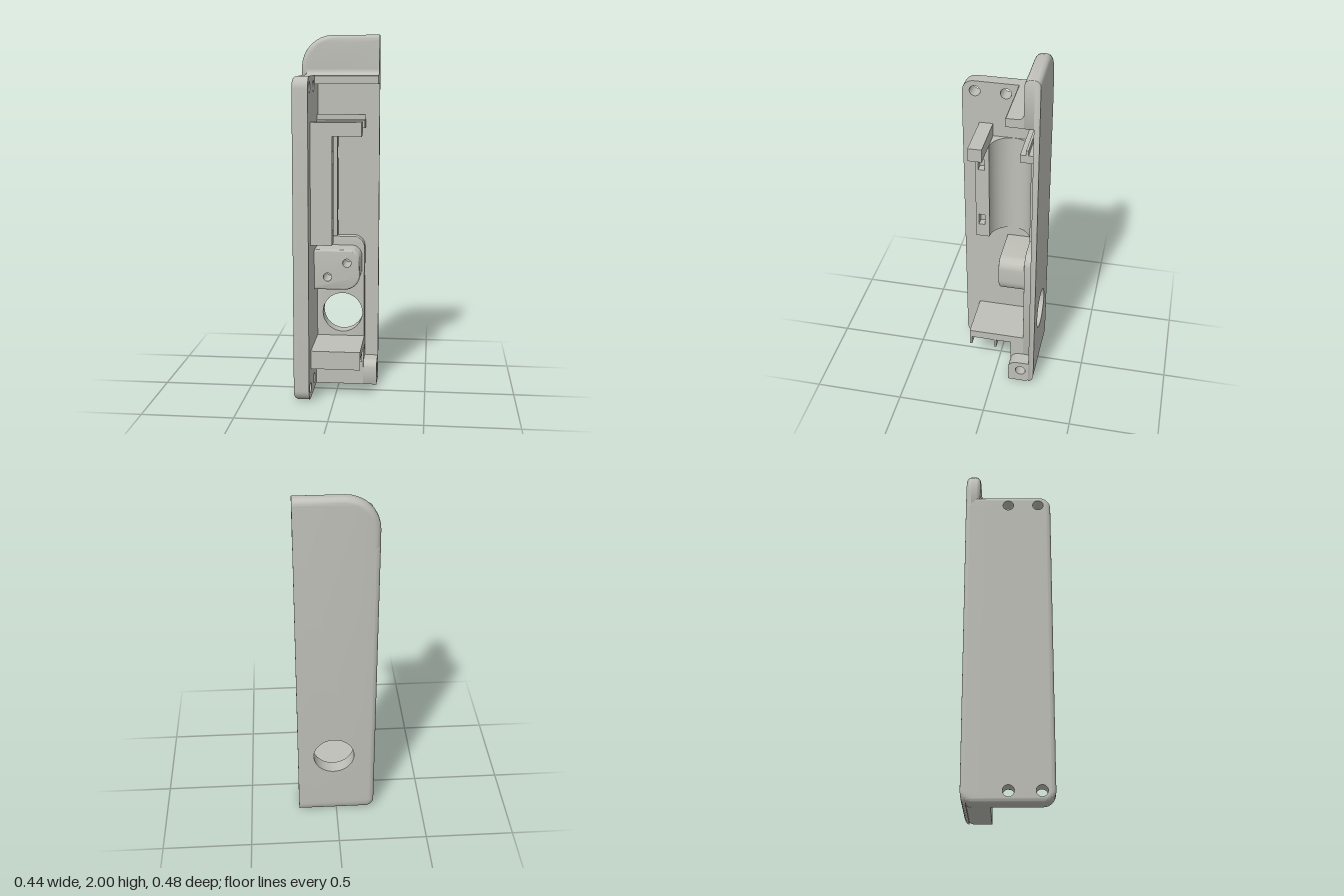
import * as THREE from 'three';
import { mergeGeometries, toCreasedNormals } from 'three/addons/utils/BufferGeometryUtils.js';

const T = 0.003; // tiny radius for a nearly sharp corner

// Rounded rectangle outline, counter-clockwise; radii: bottom-left, bottom-right, top-right, top-left
function roundRect(x0, y0, x1, y1, radii) {
  const pts = [];
  const corners = [[x0, y0, 1, 1], [x1, y0, -1, 1], [x1, y1, -1, -1], [x0, y1, 1, -1]];
  corners.forEach(([x, y, sx, sy], c) => {
    const r = Math.max(radii[c], T);
    for (let k = 0; k <= 8; k++) {
      const a = Math.PI + (c + k / 8) * Math.PI / 2;
      pts.push(new THREE.Vector2(x + sx * r + r * Math.cos(a), y + sy * r + r * Math.sin(a)));
    }
  });
  return pts;
}

function circle(x, y, r, n = 40) {
  return Array.from({ length: n }, (_, i) => {
    const a = i / n * Math.PI * 2;
    return new THREE.Vector2(x + r * Math.cos(a), y + r * Math.sin(a));
  });
}

// Wall through stacked outlines, each { pts, z }, from the top down
function loft(rings) {
  const pos = [];
  const put = (r, i) => {
    const p = r.pts[i % r.pts.length];
    pos.push(p.x, p.y, r.z);
  };
  for (let k = 0; k < rings.length - 1; k++) {
    const a = rings[k], b = rings[k + 1];
    for (let i = 0; i < a.pts.length; i++) {
      put(a, i); put(b, i); put(a, i + 1);
      put(a, i + 1); put(b, i); put(b, i + 1);
    }
  }
  return new THREE.BufferGeometry().setAttribute('position', new THREE.Float32BufferAttribute(pos, 3));
}

function cap(pts, holes, z, flip) {
  const shape = new THREE.Shape(pts);
  shape.holes = holes.map(h => new THREE.Path(circle(...h)));
  const g = new THREE.ShapeGeometry(shape);
  if (flip) g.index.array.reverse();
  const out = g.toNonIndexed();
  out.deleteAttribute('normal');
  out.deleteAttribute('uv');
  return out.translate(0, 0, z);
}

// Plate whose +z face lies on z = 0 with a rounded rim; outline(i) is the contour inset by i
function plate(outline, depth, bevel, holes = []) {
  const rings = [];
  for (let k = 0; k <= 6; k++) {
    const a = k / 6 * Math.PI / 2;
    rings.push({ pts: outline(bevel * (1 - Math.sin(a))), z: -bevel * (1 - Math.cos(a)) });
  }
  rings.push({ pts: outline(0), z: -depth });
  const parts = [loft(rings), cap(outline(bevel), holes, 0, false), cap(outline(0), holes, -depth, true)];
  for (const h of holes) {
    const pts = circle(...h).reverse();
    parts.push(loft([{ pts, z: 0 }, { pts, z: -depth }]));
  }
  return toCreasedNormals(mergeGeometries(parts), 0.6);
}

// Extrude a (-z, y) profile along x
function alongX(pts, x0, x1, holes = []) {
  const shape = new THREE.Shape(pts);
  shape.holes = holes.map(h => new THREE.Path(circle(...h)));
  const g = new THREE.ExtrudeGeometry(shape, { depth: x1 - x0, bevelEnabled: false });
  return toCreasedNormals(g.rotateY(Math.PI / 2).translate(x0, 0, 0), 0.6);
}

export function createModel() {
  const model = new THREE.Group();
  const grey = new THREE.MeshStandardMaterial({ color: 0xc0c0b9, side: THREE.DoubleSide });
  grey.name = 'warm grey';
  const add = (name, geo) => {
    const m = new THREE.Mesh(geo, grey);
    m.name = name;
    model.add(m);
    return m;
  };
  const box = (name, x0, x1, y0, y1, z0, z1) =>
    add(name, new THREE.BoxGeometry(x1 - x0, y1 - y0, z1 - z0)
      .translate((x0 + x1) / 2, (y0 + y1) / 2, (z0 + z1) / 2));
  const wall = -0.132; // inner face of the side plate

  // Side plate with four screw holes
  const screws = [];
  for (const z of [0.17, 0.002]) for (const y of [0.062, 1.722]) screws.push([z, y, 0.03, 28]);
  add('sidePlate', plate(
    i => roundRect(-0.24 + i, i, 0.24 - i, 1.78 - i, Array(4).fill(0.065 - i)),
    0.088, 0.025, screws).rotateY(-Math.PI / 2).translate(-0.22, 0, 0));

  // Back plate, seen from behind, with the large round opening
  add('backPlate', plate(
    i => roundRect(-0.22, 2 * i, 0.22 - i, 2 - i, [T, 0.05 - i, 0.18 - i, T]),
    0.03, 0.03, [[-0.015, 0.41, 0.115]]).rotateY(Math.PI).translate(0, 0, -0.24));

  // Upper lip and the filleted ledge below it
  add('upperLip', plate(
    i => roundRect(-0.22 + i, 1.73, 0.22, 2 - i, [T, T, T, 0.18 - i]),
    0.05, 0.03).translate(0, 0, -0.16));
  const ledge = [[0.21, 1.732], [0.065, 1.732], [0.065, 1.775], [0.07, 1.78], [0.13, 1.78]];
  for (let k = 1; k <= 6; k++) {
    const a = k / 6 * Math.PI / 2;
    ledge.push([0.13 + 0.03 * Math.sin(a), 1.81 - 0.03 * Math.cos(a)]);
  }
  ledge.push([0.21, 1.81]);
  add('ledge', alongX(ledge.map(p => new THREE.Vector2(...p)), -0.19, 0.219));

  // Thick lower pad on the back plate
  add('lowerPad', plate(
    i => roundRect(wall - 0.01, 0.03, 0.142 - i, 0.862 - i, [T, T, 0.065 - i, T]),
    0.052, 0.004, [[0.015, 0.41, 0.115]]).translate(0, 0, -0.16));

  // Latch block with two screw holes
  add('latchBlock', plate(
    i => roundRect(wall, 0.58 + i, 0.127 - i, 0.81 - i, [T, 0.09 - i, 0.06 - i, T]),
    0.15, 0.01, [[0.053, 0.735, 0.024, 24], [-0.057, 0.653, 0.024, 24]]).translate(0, 0, -0.01));

  // Half-round cradle, stacked in layers so that some carry the strap slots
  const front = -0.015, R = 0.115, zc = -0.045;
  const cradle = (y0, y1, slotted) => {
    const s = new THREE.Shape();
    s.moveTo(wall - 0.004, 0.212);
    s.lineTo(wall - 0.004, -0.147);
    if (slotted) [[front, -0.147], [front, -0.13], [-0.06, -0.13], [-0.06, -0.095], [front, -0.095]]
      .forEach(p => s.lineTo(...p));
    else s.lineTo(front, -0.147);
    s.lineTo(front, -zc - R);
    s.absarc(front, -zc, R, -Math.PI / 2, -Math.PI * 1.5, true);
    if (slotted) [[front, 0.18], [-0.06, 0.18], [-0.06, 0.212]].forEach(p => s.lineTo(...p));
    else s.lineTo(front, 0.212);
    const g = new THREE.ExtrudeGeometry(s, { depth: y1 - y0, bevelEnabled: false, curveSegments: 32 });
    add('cradle', toCreasedNormals(g.rotateX(-Math.PI / 2).translate(0, y0, 0), 0.5));
  };
  const levels = [0.865, 0.945, 1.012, 1.308, 1.375, 1.46];
  for (let i = 0; i < 5; i++) cradle(levels[i], levels[i + 1], i % 2 === 1);

  // Arm over the cradle and the ridged bar behind it
  box('upperArm', wall, 0.145, 1.46, 1.535, 0.072, 0.147);
  box('rearBar', wall, 0.142, 1.485, 1.53, -0.212, -0.128);
  box('rearBarRidge', wall, 0.142, 1.53, 1.56, -0.173, -0.16);

  // Lower shelf with its ribs and supporting wall
  box('shelf', wall, 0.142, 0.222, 0.27, -0.162, 0.16);
  box('shelfLip', wall, 0.142, 0.168, 0.222, 0.147, 0.16);
  box('shelfRib', wall, 0.142, 0.168, 0.222, 0.0, 0.013);
  box('shelfSupport', wall, 0.142, 0.001, 0.222, -0.162, -0.088);

  // Bottom hinge boss with its pin hole
  add('hingeBoss', alongX(roundRect(0.088, 0, 0.238, 0.14, [T, 0.06, T, 0.05]),
    wall, 0.219, [[0.162, 0.08, 0.03, 28]]));

  return model;
}
